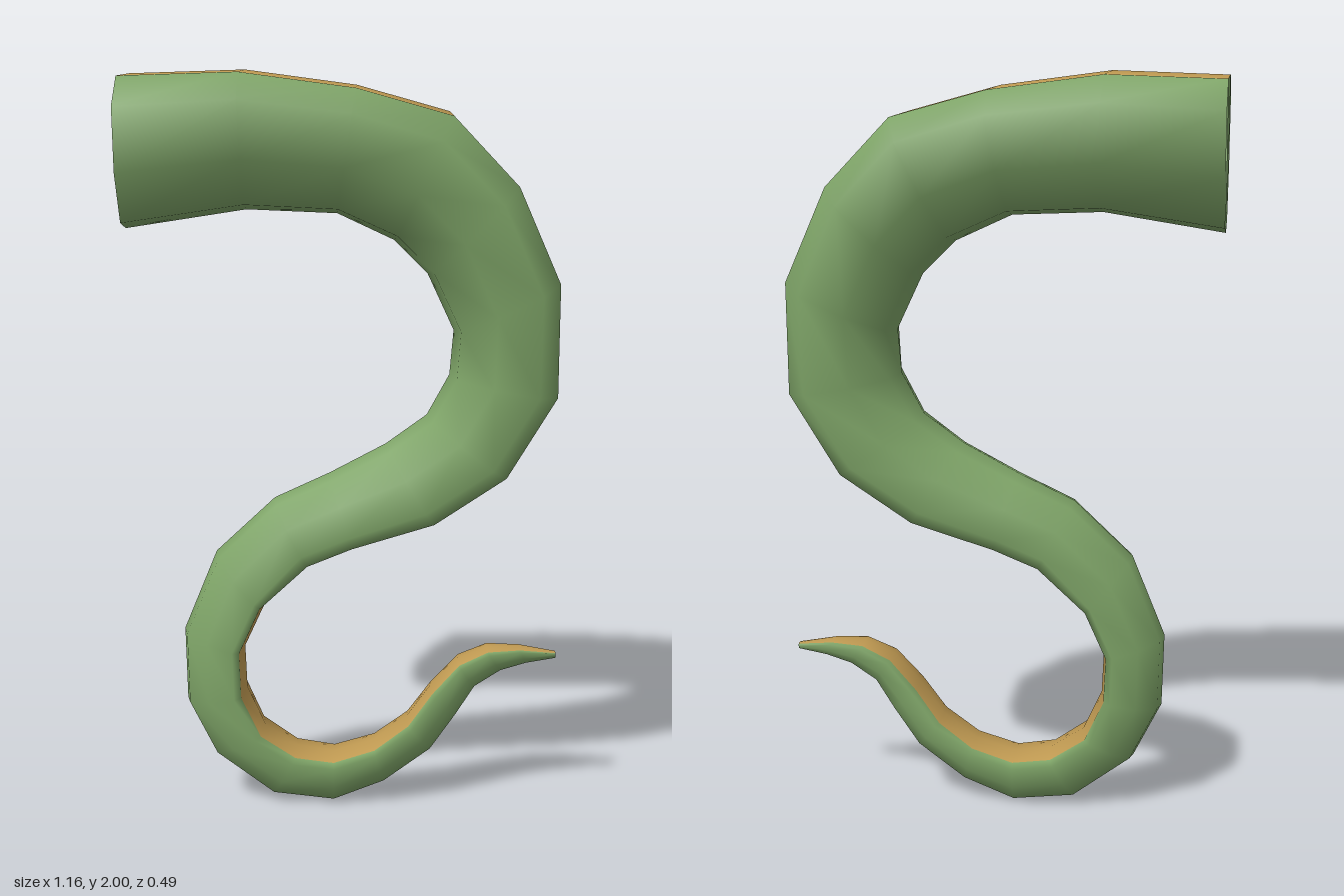
import * as THREE from 'three';

// Sections along the tentacle: strip side x, y, back side x, y, half width
const SECTIONS = [
  [-0.58, 1.99, -0.58, 1.59, 0.245], [-0.27, 2.0, -0.26, 1.64, 0.245],
  [0.03, 1.96, -0.02, 1.63, 0.235], [0.28, 1.89, 0.13, 1.56, 0.232],
  [0.45, 1.71, 0.22, 1.47, 0.225], [0.56, 1.46, 0.29, 1.32, 0.213],
  [0.56, 1.16, 0.28, 1.2, 0.187], [0.43, 0.94, 0.22, 1.09, 0.162],
  [0.24, 0.81, 0.11, 1.01, 0.142], [0.02, 0.74, -0.04, 0.93, 0.126],
  [-0.1, 0.69, -0.19, 0.86, 0.118], [-0.22, 0.56, -0.35, 0.71, 0.114],
  [-0.275, 0.44, -0.44, 0.49, 0.11], [-0.27, 0.32, -0.435, 0.29, 0.107],
  [-0.22, 0.21, -0.36, 0.14, 0.1], [-0.13, 0.15, -0.2, 0.02, 0.093],
  [-0.03, 0.135, -0.03, 0.0, 0.088], [0.08, 0.168, 0.11, 0.055, 0.083],
  [0.17, 0.235, 0.24, 0.15, 0.077], [0.235, 0.325, 0.31, 0.25, 0.07],
  [0.31, 0.405, 0.36, 0.33, 0.062], [0.39, 0.44, 0.43, 0.375, 0.052],
  [0.48, 0.44, 0.5, 0.395, 0.033], [0.58, 0.425, 0.58, 0.408, 0.013],
];

// Cross-section: strip edge, shoulder, flank, narrowing back, strip centre.
// The strip widens and bulges a little towards the tip.
const ringPoints = (s, k) => {
  const strip = k < 5 ? 0.57 + 0.025 * k : Math.min(0.85, 0.7 + 0.02 * (k - 5));
  const half = [[strip, k < 11 ? 0 : 0.07], [1, 0.18], [0.9, 0.6], [0.47, 0.94]];
  const profile = [...half, [0, 1], ...half.map(([a, t]) => [-a, t]).reverse(), [0, 0]];
  return profile.map(([a, t]) => new THREE.Vector3(
    s[0] + (s[2] - s[0]) * t, s[1] + (s[3] - s[1]) * t, s[4] * a));
};

// Flat cap over a loop of points
function capGeometry(loop) {
  const g = new THREE.BufferGeometry().setFromPoints(loop);
  const index = [];
  for (let i = 1; i < loop.length - 1; i++) index.push(0, i, i + 1);
  g.setIndex(index);
  g.computeVertexNormals();
  return g;
}

export function createModel() {
  const group = new THREE.Group();
  group.name = 'tentacle';
  const green = new THREE.MeshStandardMaterial({ color: 0x7fa568, side: THREE.DoubleSide });
  const tan = new THREE.MeshStandardMaterial({ color: 0xc09a52, side: THREE.DoubleSide });
  const add = (name, geometry, material) => {
    const mesh = new THREE.Mesh(geometry, material);
    mesh.name = name;
    group.add(mesh);
  };

  const rings = SECTIONS.map(ringPoints);
  const n = rings[0].length;
  const skinIndex = [], stripIndex = [];
  for (let k = 0; k < rings.length - 1; k++) {
    for (let i = 0; i < n; i++) {
      const a = k * n + i, b = k * n + (i + 1) % n;
      (i >= n - 2 ? stripIndex : skinIndex).push(a, b, a + n, b, b + n, a + n);
    }
  }

  // Skin and strip share their vertices, so shading stays smooth across the seam
  const skin = new THREE.BufferGeometry().setFromPoints(rings.flat());
  skin.setIndex([...skinIndex, ...stripIndex]);
  skin.computeVertexNormals();
  const strip = skin.clone();
  skin.setIndex(skinIndex);
  strip.setIndex(stripIndex);
  add('skin', skin, green);
  add('undersideStrip', strip, tan);

  // Root plate between strip and back, leaving the sides open; closed tip
  const rootLoop = [8, 5, 4, 3, 0].map((i) => rings[0][i]);
  add('rootPlate', capGeometry(rootLoop), green);
  add('tipCap', capGeometry(rings[rings.length - 1]), tan);
  return group;
}
